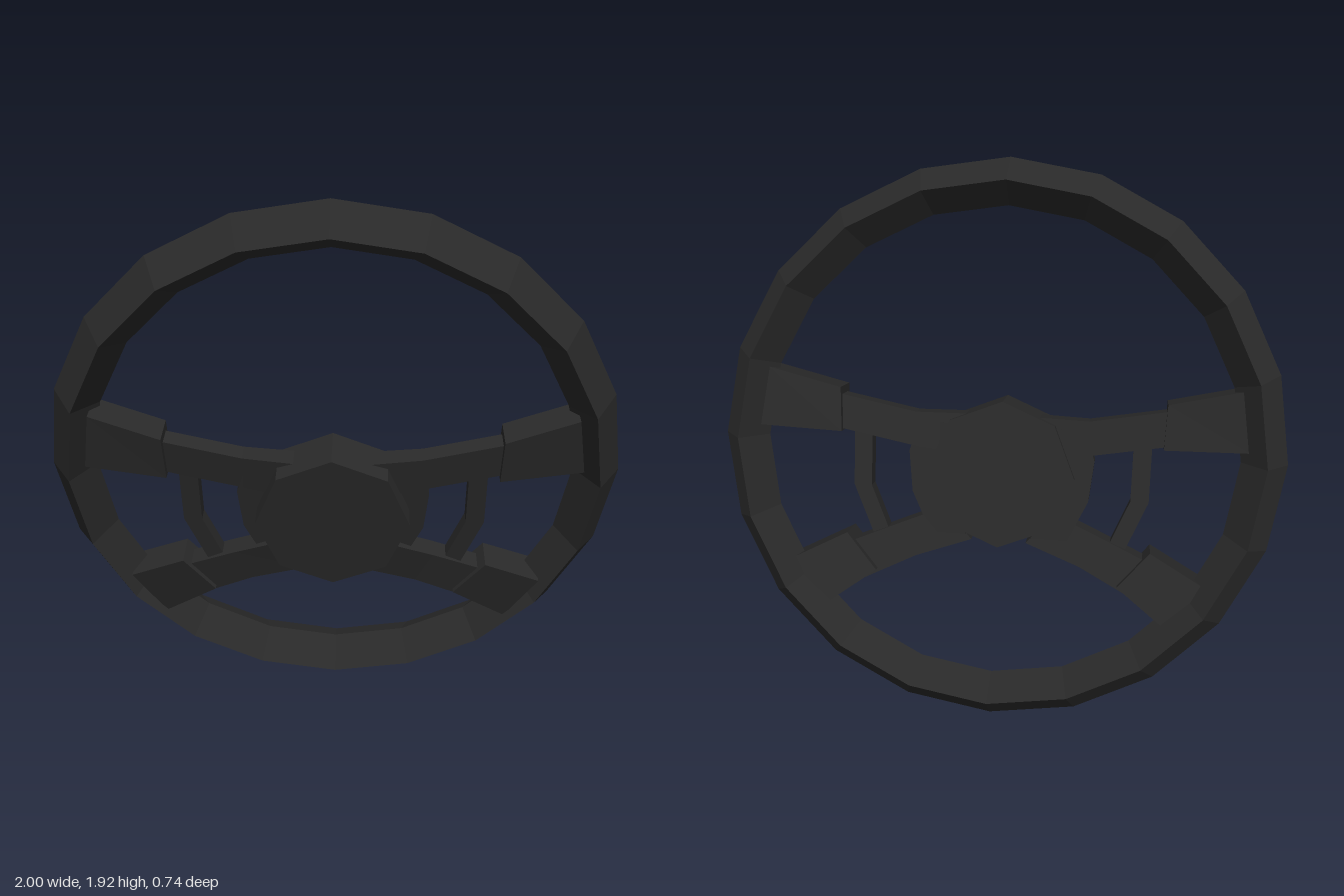
import * as THREE from 'three';

export function createModel() {
  const model = new THREE.Group();
  const black = new THREE.MeshStandardMaterial({ color: 0x292929, flatShading: true });
  black.name = 'black plastic';

  // Everything is built in the plane of the wheel, then tilted forward.
  const wheel = new THREE.Group();
  wheel.name = 'steeringWheel';
  wheel.rotation.x = 0.286;
  wheel.position.y = 0.96;
  model.add(wheel);

  const add = (name, geometry) => {
    const mesh = new THREE.Mesh(geometry, black);
    mesh.name = name;
    wheel.add(mesh);
    return mesh;
  };

  // Box-section bar through sections [ax, ay, bx, by, back, front]; side -1 mirrors it.
  function loft(sections, side) {
    const rings = sections.map(([ax, ay, bx, by, back, front]) => {
      const ring = [[ax, ay, back], [bx, by, back], [bx, by, front], [ax, ay, front]]
        .map(([x, y, z]) => [x * side, y, z]);
      return side < 0 ? ring.reverse() : ring;
    });
    const pos = [];
    const quad = (a, b, c, d) => pos.push(...a, ...b, ...c, ...a, ...c, ...d);
    for (let k = 0; k + 1 < rings.length; k++) {
      const r = rings[k], n = rings[k + 1];
      for (let i = 0; i < 4; i++) {
        const j = (i + 1) % 4;
        quad(r[i], r[j], n[j], n[i]);
      }
    }
    quad(...rings[0].slice().reverse());
    quad(...rings[rings.length - 1]);
    const g = new THREE.BufferGeometry();
    g.setAttribute('position', new THREE.Float32BufferAttribute(pos, 3));
    g.computeVertexNormals();
    return g;
  }

  // Rim with a diamond cross-section
  const rim = new THREE.TorusGeometry(0.92, 0.08, 4, 20);
  rim.scale(1, 1, 1.44);
  add('rim', rim);

  // Octagonal hub
  const hub = new THREE.CylinderGeometry(0.268, 0.268, 0.17, 8);
  hub.rotateX(Math.PI / 2);
  hub.translate(0, -0.108, 0.115);
  add('hub', hub);

  // Spokes, grips and struts, mirrored
  const parts = {
    UpperSpoke: [
      [0.06, -0.05, 0.06, 0.105, 0.07, 0.15],
      [0.31, -0.02, 0.31, 0.105, 0.04, 0.11],
      [0.62, 0.04, 0.62, 0.165, 0.02, 0.09],
    ],
    LowerSpoke: [
      [0.10, -0.36, 0.20, -0.245, 0.06, 0.14],
      [0.30, -0.43, 0.36, -0.31, 0.04, 0.12],
      [0.50, -0.53, 0.57, -0.40, 0.02, 0.10],
    ],
    UpperGrip: [
      [0.575, 0.025, 0.58, 0.185, 0.0, 0.12],
      [0.865, 0.04, 0.83, 0.25, -0.04, 0.08],
    ],
    LowerGrip: [
      [0.44, -0.485, 0.55, -0.35, 0.0, 0.125],
      [0.64, -0.63, 0.755, -0.455, -0.04, 0.09],
    ],
    Strut: [
      [0.47, 0.05, 0.535, 0.05, 0.04, 0.095],
      [0.47, -0.175, 0.535, -0.175, 0.04, 0.095],
      [0.39, -0.37, 0.455, -0.37, 0.045, 0.1],
    ],
    HubWeb: [
      [0.12, 0.07, 0.30, 0.07, 0.05, 0.11],
      [0.18, -0.04, 0.335, -0.04, 0.05, 0.11],
      [0.18, -0.19, 0.32, -0.19, 0.05, 0.11],
      [0.12, -0.34, 0.25, -0.34, 0.05, 0.11],
    ],
  };
  for (const [name, sections] of Object.entries(parts)) {
    add('left' + name, loft(sections, 1));
    add('right' + name, loft(sections, -1));
  }
  return model;
}
